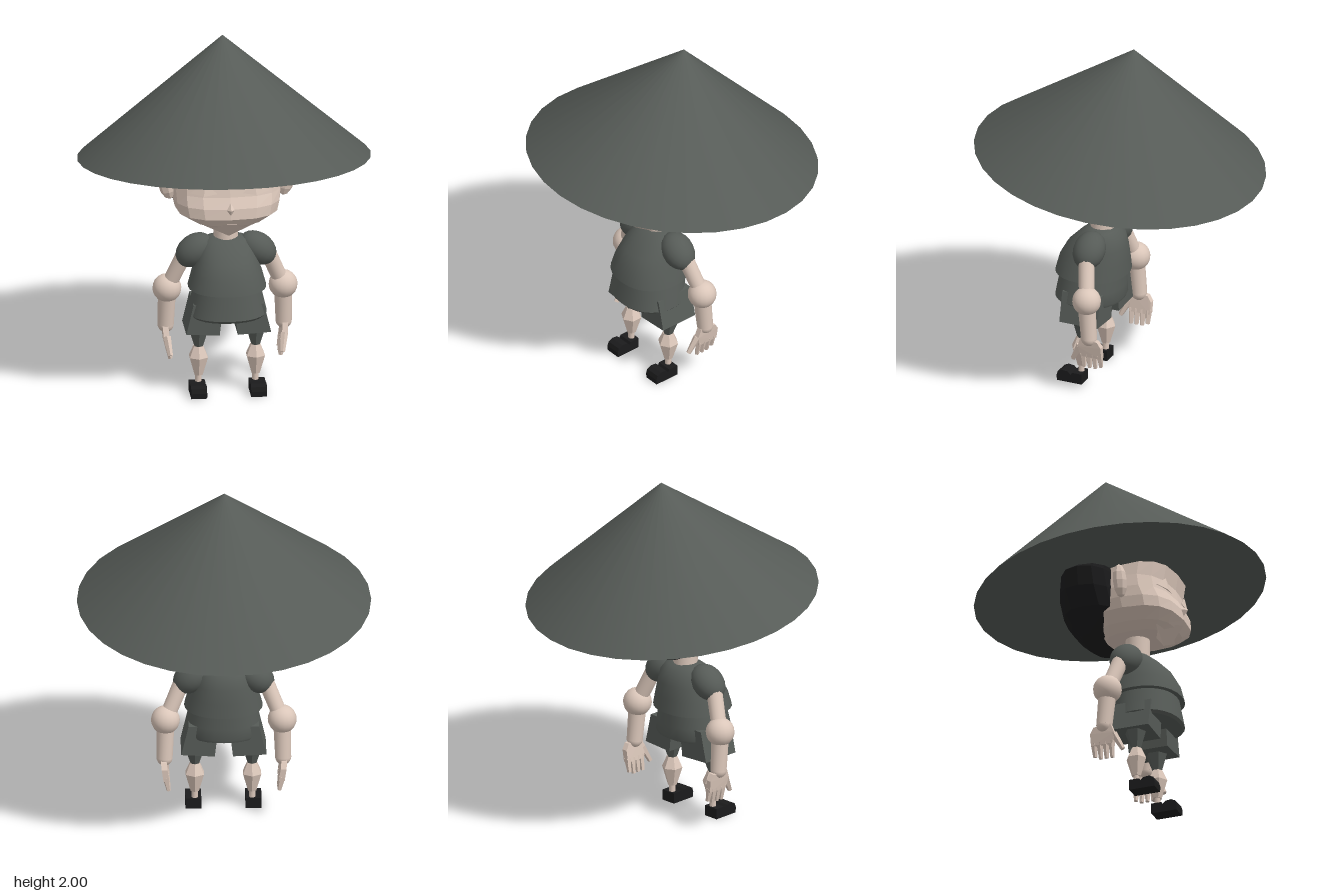
import * as THREE from 'three';
import { toCreasedNormals } from 'three/addons/utils/BufferGeometryUtils.js';
import { ConvexGeometry } from 'three/addons/geometries/ConvexGeometry.js';

const cloth = new THREE.MeshStandardMaterial({ color: 0x565b57 });
cloth.name = 'greyCloth';
const skin = new THREE.MeshStandardMaterial({ color: 0xdbc7ba });
skin.name = 'skin';
const black = new THREE.MeshStandardMaterial({ color: 0x1b1b1c });
black.name = 'black';

const FLAT = 0.02;
const v = (p) => new THREE.Vector3(...p);

function add(group, name, geometry, material) {
  const mesh = new THREE.Mesh(geometry, material);
  mesh.name = name;
  group.add(mesh);
  return mesh;
}

// Stack of rounded rings [y, half width, front z, back z]; first and last are closed
function loft(rings, segments, power, crease) {
  const all = [[rings[0][0], 0, rings[0][2], rings[0][3]], ...rings,
    [rings.at(-1)[0], 0, rings.at(-1)[2], rings.at(-1)[3]]];
  const positions = [], index = [];
  const bend = (t) => Math.sign(t) * Math.abs(t) ** (2 / power);
  all.forEach(([y, w, front, back], i) => {
    const end = i === 0 || i === all.length - 1;
    for (let j = 0; j < segments; j++) {
      const a = (j / segments) * Math.PI * 2;
      const depth = end ? 0 : (front - back) / 2;
      positions.push(bend(Math.cos(a)) * w, y, (front + back) / 2 + bend(Math.sin(a)) * depth);
      if (i === all.length - 1) continue;
      const k = (j + 1) % segments, p = i * segments, q = p + segments;
      if (i > 0) index.push(p + j, q + j, p + k);
      if (!end || i === 0) index.push(p + k, q + j, q + k);
    }
  });
  const g = new THREE.BufferGeometry();
  g.setAttribute('position', new THREE.Float32BufferAttribute(positions, 3));
  g.setIndex(index);
  return toCreasedNormals(g, crease);
}

// Tapered rod from point a to point b
function rod(a, b, ra, rb, sides = 16, crease = 1) {
  const from = v(a), to = v(b), dir = to.clone().sub(from);
  const g = new THREE.CylinderGeometry(rb, ra, dir.length(), sides);
  g.applyQuaternion(new THREE.Quaternion().setFromUnitVectors(v([0, 1, 0]), dir.normalize()));
  g.translate(...from.add(to).multiplyScalar(0.5).toArray());
  return toCreasedNormals(g, crease);
}

function ball(center, radii, tilt = 0, w = 18, h = 12) {
  return new THREE.SphereGeometry(1, w, h).scale(...radii).rotateZ(tilt).translate(...center);
}

const hull = (points) => new ConvexGeometry(points.map(v));

function buildHead(group) {
  // Faceted head
  add(group, 'head', loft([
    [1.0, 0.14, 0.29, -0.06],
    [1.03, 0.21, 0.34, -0.1],
    [1.08, 0.285, 0.38, -0.13],
    [1.14, 0.3, 0.375, -0.14],
    [1.2, 0.305, 0.345, -0.14],
    [1.27, 0.3, 0.33, -0.14],
    [1.36, 0.295, 0.345, -0.14],
    [1.44, 0.26, 0.3, -0.12],
  ], 16, 2.7, FLAT), skin);
  // Pointed chin and diamond nose
  add(group, 'chin', hull([[-0.14, 1.015, 0.27], [0.14, 1.015, 0.27], [0, 1.05, 0.375],
    [0, 1.02, 0.2], [0, 0.945, 0.26]]), skin);
  add(group, 'nose', hull([[0, 1.18, 0.35], [-0.032, 1.135, 0.36], [0.032, 1.135, 0.36],
    [0, 1.095, 0.37], [0, 1.14, 0.405], [0, 1.14, 0.33]]), skin);

  // Bulky faceted hair wrapping the back of the head
  add(group, 'hair', loft([
    [1.01, 0.17, -0.04, -0.19],
    [1.055, 0.26, 0.06, -0.245],
    [1.1, 0.34, 0.115, -0.275],
    [1.2, 0.41, 0.11, -0.285],
    [1.3, 0.44, 0.095, -0.26],
    [1.38, 0.38, 0.09, -0.18],
  ], 18, 2.5, FLAT), black);

  for (const s of [1, -1]) {
    // Closed eyelid
    add(group, 'eyelid', hull([[s * 0.07, 1.22, 0.335], [s * 0.22, 1.22, 0.305], [s * 0.14, 1.285, 0.326],
      [s * 0.145, 1.21, 0.343], [s * 0.145, 1.24, 0.27]]), skin);
    // Ear
    add(group, 'ear', toCreasedNormals(
      ball([s * 0.33, 1.22, 0.13], [0.05, 0.095, 0.04], -s * 0.2, 8, 6), FLAT), skin);
  }
}

function buildArm(group, s) {
  add(group, 'sleeve', ball([s * 0.175, 0.812, 0.105], [0.115, 0.085, 0.09], -s * 0.65), cloth);
  add(group, 'upperArm', rod([s * 0.225, 0.8, 0.1], [s * 0.32, 0.575, 0.053], 0.045, 0.043), skin);
  add(group, 'elbow', ball([s * 0.322, 0.575, 0.053], [0.08, 0.08, 0.08]), skin);
  add(group, 'forearm', rod([s * 0.322, 0.55, 0.053], [s * 0.327, 0.355, 0.036], 0.05, 0.045), skin);
  add(group, 'wrist', ball([s * 0.327, 0.355, 0.036], [0.045, 0.045, 0.045]), skin);

  // Flat faceted hand with four fingers and a thumb
  const hand = new THREE.Group();
  hand.name = 'hand';
  group.add(hand);
  const palm = [];
  for (const dx of [-0.016, 0.016]) {
    palm.push([s * (0.332 + dx), 0.355, 0.08], [s * (0.332 + dx), 0.345, -0.02],
      [s * (0.328 + dx), 0.31, -0.042], [s * (0.318 + dx), 0.24, -0.04],
      [s * (0.318 + dx), 0.24, 0.085], [s * (0.328 + dx), 0.3, 0.1]);
  }
  add(hand, 'palm', hull(palm), skin);
  for (let i = 0; i < 4; i++) {
    const z = -0.026 + i * 0.034;
    add(hand, 'finger', rod([s * 0.32, 0.26, z], [s * 0.305, 0.167 + (i === 0 ? 0.015 : 0), z],
      0.02, 0.012, 5, FLAT), skin);
  }
  add(hand, 'thumb', rod([s * 0.325, 0.3, 0.09], [s * 0.31, 0.205, 0.14], 0.022, 0.014, 5, FLAT), skin);
}

function buildLeg(group, s) {
  const x = s * 0.158, z = 0.16;
  // Boxy shorts leg and tapering cuff below it
  const shorts = [];
  for (const zz of [0.26, 0.03]) {
    shorts.push([s * 0.05, 0.36, zz], [s * 0.235, 0.37, zz], [s * 0.195, 0.54, zz], [s * 0.03, 0.54, zz]);
  }
  add(group, 'shortsLeg', hull(shorts), cloth);
  add(group, 'thigh', rod([x, 0.4, z - 0.005], [x, 0.265, z], 0.072, 0.026, 6, FLAT), cloth);

  // Faceted knee and calf
  add(group, 'knee', rod([x, 0.205, z], [x, 0.268, z], 0.058, 0.03, 6, FLAT), skin);
  add(group, 'calf', rod([x, 0.1, z], [x, 0.205, z], 0.026, 0.058, 6, FLAT), skin);
  add(group, 'ankle', rod([x, 0.04, z], [x, 0.105, z], 0.018, 0.018, 8), skin);

  // Shoe with a rounded toe and raised heel
  const side = new THREE.Shape();
  [[0.137, 0], [0.137, 0.06], [0.195, 0.06], [0.202, 0.045], [0.22, 0.063], [0.255, 0.067],
    [0.28, 0.055], [0.288, 0.03], [0.286, 0]].forEach(([a, b], i) => side[i ? 'lineTo' : 'moveTo'](a, b));
  const shoe = new THREE.ExtrudeGeometry(side, { depth: 0.088, bevelEnabled: false });
  shoe.rotateY(-Math.PI / 2).translate(x + s * 0.008 + 0.044, 0, 0);
  add(group, 'shoe', shoe, black);
}

export function createModel() {
  const model = new THREE.Group();
  model.name = 'farmer';

  // Wide conical hat, tipped back
  const hat = add(model, 'hat', new THREE.ConeGeometry(0.812, 0.686, 32), cloth);
  hat.geometry.translate(0, 0.343, 0);
  hat.rotation.x = -0.124;
  hat.position.y = 1.319;

  const head = new THREE.Group();
  head.name = 'headGroup';
  model.add(head);
  buildHead(head);
  add(model, 'neck', rod([0, 0.85, 0.105], [0, 1.03, 0.105], 0.068, 0.068), skin);

  // Two-layer flared tunic
  add(model, 'upperTunic', loft([
    [0.62, 0.217, 0.365, -0.045],
    [0.7, 0.195, 0.345, -0.04],
    [0.78, 0.168, 0.3, -0.032],
    [0.84, 0.148, 0.24, -0.015],
    [0.88, 0.118, 0.19, 0.02],
    [0.892, 0.08, 0.16, 0.05],
  ], 28, 2.2, 0.8), cloth);
  add(model, 'lowerTunic', loft([
    [0.46, 0.205, 0.35, -0.015],
    [0.475, 0.218, 0.363, -0.02],
    [0.54, 0.203, 0.352, -0.02],
    [0.66, 0.175, 0.33, -0.015],
  ], 28, 2.2, 0.8), cloth);

  for (const s of [1, -1]) {
    const arm = new THREE.Group(), leg = new THREE.Group();
    arm.name = s > 0 ? 'leftArm' : 'rightArm';
    leg.name = s > 0 ? 'leftLeg' : 'rightLeg';
    model.add(arm, leg);
    buildArm(arm, s);
    buildLeg(leg, s);
  }
  return model;
}
